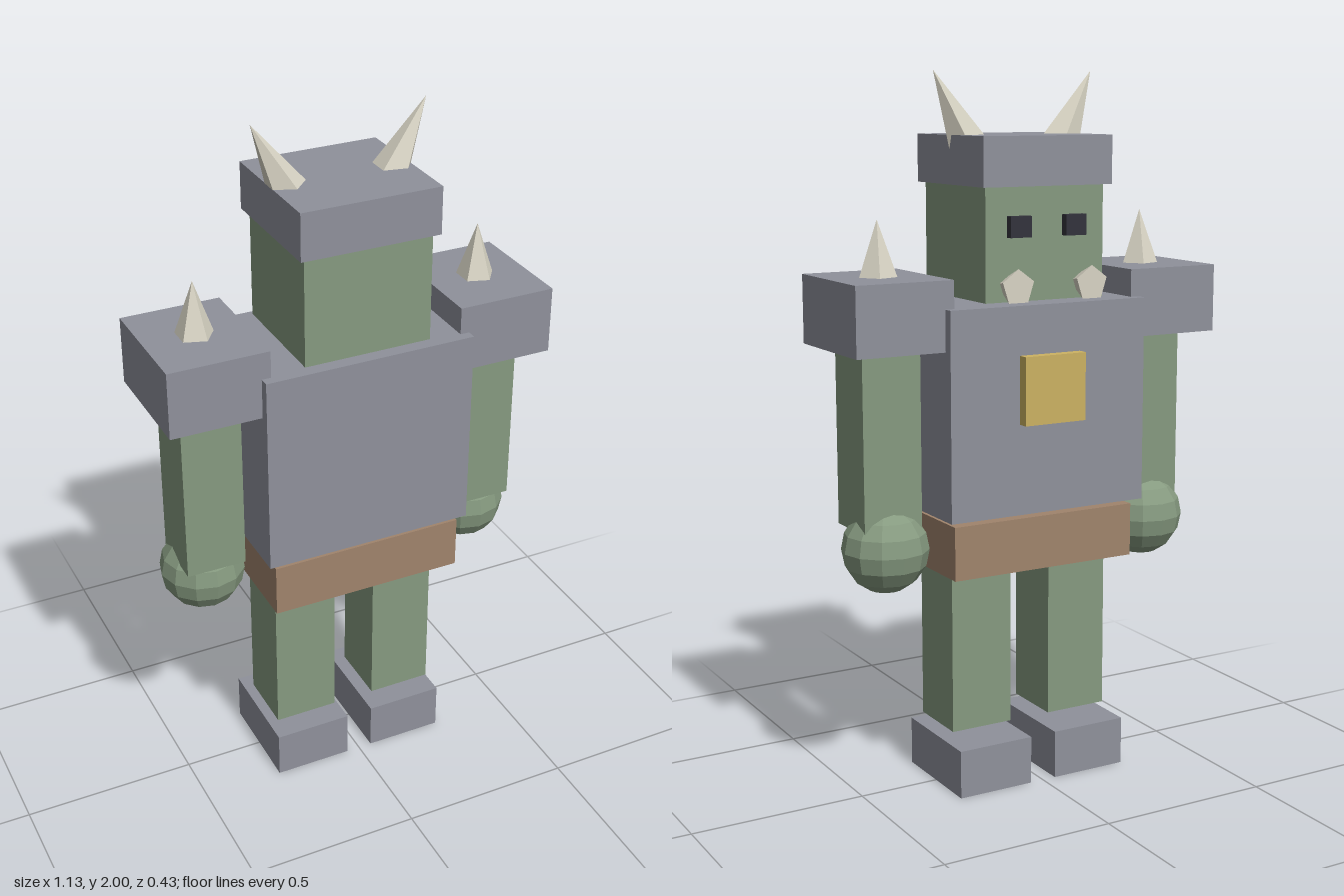
import * as THREE from 'three';

export function createModel() {
  const model = new THREE.Group();
  const mat = (color) => new THREE.MeshStandardMaterial({ color, flatShading: true });
  const armor = mat(0x8f919b), skin = mat(0x869a80), leather = mat(0xa0846c);
  const bone = mat(0xd8d4c4), gold = mat(0xccb262), dark = mat(0x33333c);
  const Z = 0.015; // shared depth centre of the body

  const add = (name, geometry, material, x, y, z) => {
    const mesh = new THREE.Mesh(geometry, material);
    mesh.name = name;
    mesh.position.set(x, y, z);
    model.add(mesh);
    return mesh;
  };
  // Box given by its width, vertical range and depth
  const box = (name, material, x, w, y0, y1, z, d) =>
    add(name, new THREE.BoxGeometry(w, y1 - y0, d), material, x, (y0 + y1) / 2, z);
  // Five-sided spike with its tip at the origin, one ridge towards +x
  const spike = (r, h) =>
    new THREE.ConeGeometry(r, h, 5, 1, false, Math.PI / 2).translate(0, -h / 2, 0);

  // Body and head
  box('belt', leather, 0, 0.568, 0.634, 0.785, 0.02, 0.363);
  box('torso', armor, 0, 0.612, 0.802, 1.379, Z, 0.4);
  box('chestPlate', gold, 0, 0.19, 1.055, 1.244, -0.198, 0.036);
  box('head', skin, 0, 0.368, 1.387, 1.7, Z + 0.002, 0.345);
  box('helmet', armor, 0, 0.4, 1.695, 1.828, Z, 0.382);

  for (const s of [-1, 1]) {
    const side = s > 0 ? 'left' : 'right';

    // Legs and feet
    box(side + 'Foot', armor, s * 0.153, 0.227, 0, 0.138, 0, 0.308);
    box(side + 'Leg', skin, s * 0.156, 0.187, 0.167, 0.64, 0.018, 0.187);

    // Shoulders, arms and fists
    box(side + 'ShoulderPad', armor, s * 0.422, 0.285, 1.265, 1.456, Z, 0.345);
    add(side + 'ShoulderSpike', spike(0.054, 0.153), bone, s * 0.42, 1.609, Z);
    box(side + 'Arm', skin, s * 0.421, 0.172, 0.768, 1.3, 0.021, 0.172);
    add(side + 'Fist', new THREE.SphereGeometry(0.122, 12, 8), skin, s * 0.421, 0.71, -0.01);

    // Horns leaning outwards
    add(side + 'Horn', spike(0.061, 0.24), bone, s * 0.248, 2, Z).rotation.z = -s * 0.473;

    // Eyes, and tusks that widen outwards from the face
    box(side + 'Eye', dark, s * 0.086, 0.064, 1.56, 1.617, -0.162, 0.03);
    const tusk = add(side + 'Tusk', spike(0.05, 0.12), bone, s * 0.115, 1.431, -0.092);
    tusk.rotation.set(Math.PI / 2, 0, Math.PI / 2, 'ZXY');
  }
  return model;
}
